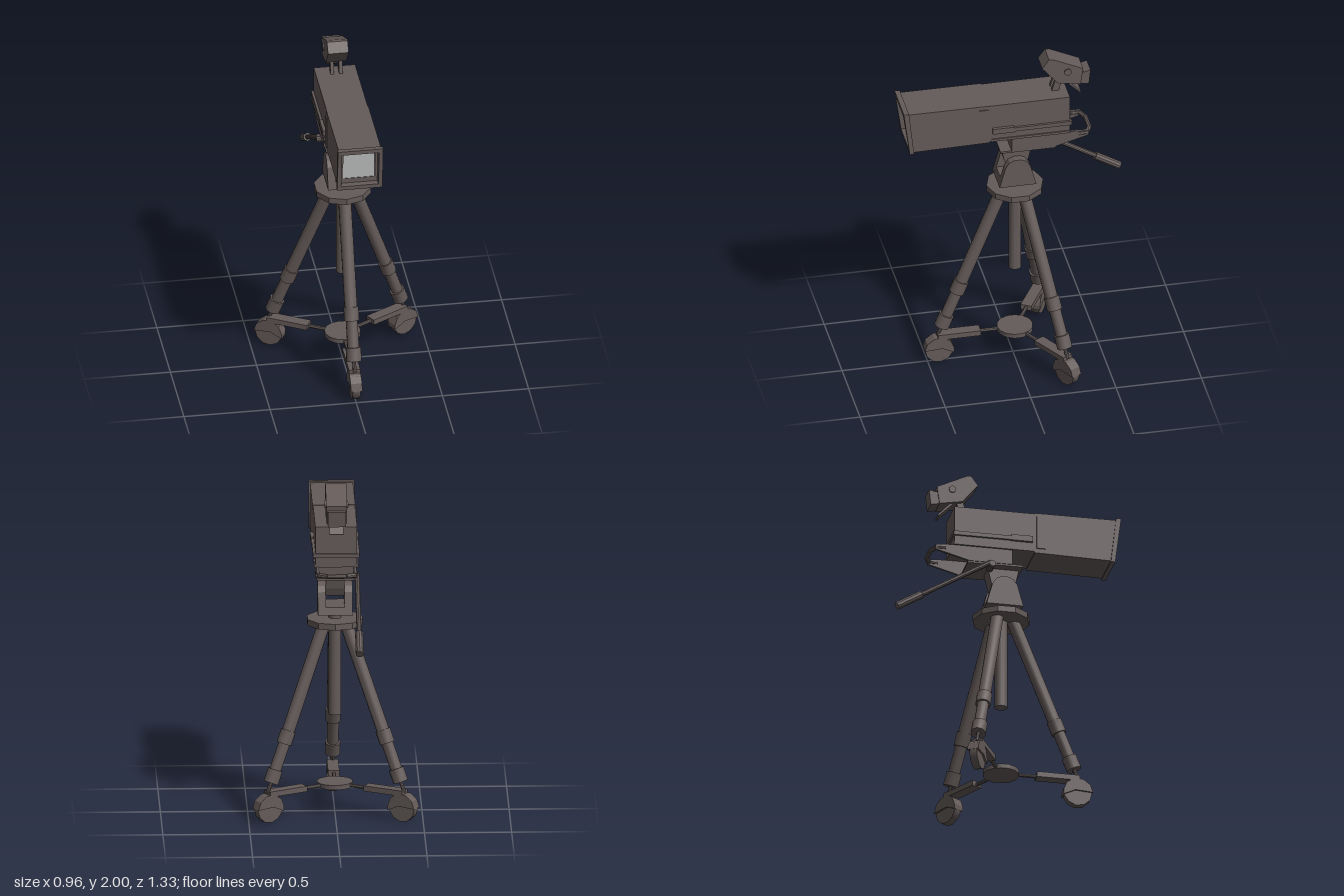
import * as THREE from 'three';
import { toCreasedNormals } from 'three/addons/utils/BufferGeometryUtils.js';

export function createModel() {
  const casing = new THREE.MeshStandardMaterial({ color: 0x645b59 });
  casing.name = 'grey casing';
  const lensGlass = new THREE.MeshStandardMaterial({ color: 0xb6b8b8 });
  lensGlass.name = 'pale glass';

  const model = new THREE.Group();
  model.name = 'studioCamera';
  const V = (x, y, z) => new THREE.Vector3(x, y, z);

  function add(parent, name, geo, mat = casing) {
    const mesh = new THREE.Mesh(geo, mat);
    mesh.name = name;
    parent.add(mesh);
    return mesh;
  }
  // Box given by its limits on each axis
  function box(parent, name, x0, x1, y0, y1, z0, z1, mat) {
    const g = new THREE.BoxGeometry(x1 - x0, y1 - y0, z1 - z0);
    g.translate((x0 + x1) / 2, (y0 + y1) / 2, (z0 + z1) / 2);
    return add(parent, name, g, mat);
  }
  // Round bar between two points
  function bar(parent, name, a, b, r, sides = 14, r2 = r) {
    const g = toCreasedNormals(new THREE.CylinderGeometry(r2, r, a.distanceTo(b), sides), 0.6);
    const mesh = add(parent, name, g);
    mesh.position.copy(a).lerp(b, 0.5);
    mesh.quaternion.setFromUnitVectors(V(0, 1, 0), b.clone().sub(a).normalize());
    return mesh;
  }
  // Side profile of [z, y] points, extruded between two x limits
  function sideProfile(parent, name, pts, x0, x1) {
    const shape = new THREE.Shape(pts.map(p => new THREE.Vector2(p[0], p[1])));
    const g = new THREE.ExtrudeGeometry(shape, { depth: x1 - x0, bevelEnabled: false });
    g.rotateY(-Math.PI / 2).translate(x1, 0, 0);
    return add(parent, name, g);
  }
  // Rectangular sleeve through rings of [zTop, zBottom, halfWidth, yBottom, yTop]
  function sleeve(parent, name, rings) {
    const pos = [];
    const corners = rings.map(([zt, zb, w, y0, y1]) =>
      [[-w, y0, zb], [w, y0, zb], [w, y1, zt], [-w, y1, zt]]);
    for (let i = 0; i < rings.length - 1; i++) {
      for (let j = 0; j < 4; j++) {
        const k = (j + 1) % 4;
        const [a, b, c, d] = [corners[i][j], corners[i][k], corners[i + 1][k], corners[i + 1][j]];
        pos.push(...a, ...b, ...c, ...a, ...c, ...d);
      }
    }
    const g = new THREE.BufferGeometry();
    g.setAttribute('position', new THREE.Float32BufferAttribute(pos, 3));
    g.computeVertexNormals();
    return add(parent, name, g);
  }

  // Camera body and lens hood
  const camera = new THREE.Group();
  camera.name = 'cameraBody';
  model.add(camera);
  box(camera, 'bodyShell', -0.12, 0.12, 1.53, 1.77, -0.31, 0.16);
  sleeve(camera, 'lensHood', [
    [0.16, 0.16, 0.05, 1.6, 1.7],
    [0.16, 0.16, 0.123, 1.523, 1.773],
    [0.635, 0.605, 0.123, 1.516, 1.775],
    [0.635, 0.605, 0.131, 1.508, 1.784],
    [0.665, 0.63, 0.131, 1.508, 1.784],
    [0.665, 0.632, 0.108, 1.533, 1.76],
    [0.61, 0.60, 0.106, 1.537, 1.757],
    [0.61, 0.60, 0.092, 1.567, 1.738],
    [0.595, 0.595, 0.092, 1.567, 1.738],
  ]);
  box(camera, 'lensGlass', -0.092, 0.092, 1.567, 1.738, 0.59, 0.597, lensGlass);

  // Side trim, wrapped around the back as a thin band
  for (const s of [-1, 1]) {
    const lim = (a, b) => (s > 0 ? [a, b] : [-b, -a]);
    box(camera, 'sideRail', ...lim(0.118, 0.134), 1.588, 1.612, -0.318, 0.14);
    box(camera, 'lowerTrim', ...lim(0.118, 0.127), 1.53, 1.545, -0.315, 0.15);
    box(camera, 'sideLatch', ...lim(0.12, 0.138), 1.585, 1.62, 0.02, 0.145);
    box(camera, 'hoodClamp', ...lim(0.118, 0.13), 1.55, 1.75, 0.17, 0.222);
  }
  box(camera, 'rearBand', -0.13, 0.13, 1.588, 1.612, -0.32, -0.308);

  // Mounting base with tapered side plates and rear carry handle
  box(camera, 'baseBlock', -0.1, 0.1, 1.44, 1.532, -0.17, 0.03);
  box(camera, 'basePlate', -0.11, 0.11, 1.43, 1.442, -0.23, 0.095);
  for (const x of [-0.115, 0.1]) {
    sideProfile(camera, 'basePlateSide',
      [[0.03, 1.532], [0.03, 1.44], [-0.22, 1.44], [-0.42, 1.495], [-0.42, 1.525], [-0.31, 1.532]],
      x, x + 0.015);
  }
  const grip = [V(-0.108, 1.51, -0.36), V(-0.108, 1.51, -0.41), V(-0.055, 1.51, -0.436),
    V(0.055, 1.51, -0.436), V(0.108, 1.51, -0.41), V(0.108, 1.51, -0.36)];
  for (let i = 0; i < grip.length - 1; i++) bar(camera, 'rearHandle', grip[i], grip[i + 1], 0.014, 8);

  // Viewfinder
  const finder = new THREE.Group();
  finder.name = 'viewfinder';
  model.add(finder);
  sideProfile(finder, 'finderHousing',
    [[-0.2, 2.0], [-0.16, 1.945], [-0.25, 1.835], [-0.385, 1.81], [-0.4, 1.915], [-0.225, 1.998]],
    -0.06, 0.06);
  sideProfile(finder, 'eyecup',
    [[-0.37, 1.9], [-0.37, 1.815], [-0.435, 1.802], [-0.445, 1.895], [-0.405, 1.885]], -0.052, 0.052);
  bar(finder, 'finderPivot', V(-0.068, 1.905, -0.31), V(0.068, 1.905, -0.31), 0.021);
  for (const x of [-0.035, 0.015]) {
    sideProfile(finder, 'finderStrut',
      [[-0.245, 1.85], [-0.22, 1.765], [-0.26, 1.765], [-0.285, 1.85]], x, x + 0.02);
  }
  sideProfile(finder, 'finderFlap',
    [[-0.3, 1.825], [-0.385, 1.742], [-0.392, 1.748], [-0.32, 1.825]], -0.04, 0.04);

  // Tilting head: tongue held in a U-shaped cradle
  const head = new THREE.Group();
  head.name = 'tiltHead';
  model.add(head);
  sideProfile(head, 'headTongue',
    [[0.082, 1.435], [0.06, 1.34], [0.04, 1.295], [-0.06, 1.295], [-0.08, 1.34], [-0.102, 1.435]],
    -0.054, 0.054);
  for (const x of [-0.1, 0.054]) {
    sideProfile(head, 'cradleCheek',
      [[0.098, 1.19], [0.062, 1.32], [0.04, 1.352], [0.01, 1.366], [-0.03, 1.366],
        [-0.06, 1.352], [-0.082, 1.32], [-0.118, 1.19]], x, x + 0.046);
  }
  sideProfile(head, 'cradleBase',
    [[0.098, 1.19], [0.085, 1.235], [-0.105, 1.235], [-0.118, 1.19]], -0.054, 0.054);

  // Pan handle on the right side
  const panStart = V(-0.125, 1.435, -0.1), panEnd = V(-0.125, 1.105, -0.65);
  const panGrip = panStart.clone().lerp(panEnd, 0.74);
  bar(head, 'panHandleRod', panStart, panGrip, 0.015, 10);
  bar(head, 'panHandleGrip', panGrip, panEnd, 0.024, 10);
  bar(head, 'panHandleMount', V(-0.14, 1.425, -0.09), V(-0.05, 1.425, -0.09), 0.018, 10);

  // Tripod, centred on its column
  const tripod = new THREE.Group();
  tripod.name = 'tripod';
  tripod.position.z = -0.012;
  model.add(tripod);
  bar(tripod, 'neck', V(0, 1.14, 0), V(0, 1.2, 0), 0.036);
  bar(tripod, 'topDisc', V(0, 1.117, 0), V(0, 1.153, 0), 0.166, 10);
  bar(tripod, 'centreColumn', V(0, 0.58, 0), V(0, 1.13, 0), 0.037);
  bar(tripod, 'dollyHub', V(0, 0.153, 0), V(0, 0.18, 0), 0.105, 14);

  // Point on a leg's centre line at a given height, leaning out along +z
  const onLeg = y => V(0, y, 0.075 + (1.12 - y) * 0.398);
  for (let i = 0; i < 3; i++) {
    const leg = new THREE.Group();
    leg.name = ['frontLeg', 'leftRearLeg', 'rightRearLeg'][i];
    leg.rotation.y = i * Math.PI * 2 / 3;
    tripod.add(leg);
    bar(leg, 'upperTube', onLeg(0.5), onLeg(1.13), 0.037);
    bar(leg, 'middleCollar', onLeg(0.45), onLeg(0.525), 0.044);
    bar(leg, 'lowerTube', onLeg(0.27), onLeg(0.47), 0.034);
    bar(leg, 'lowerCollar', onLeg(0.23), onLeg(0.305), 0.044);
    bar(leg, 'footRod', onLeg(0.17), onLeg(0.24), 0.011, 8);

    // Dolly arm and caster
    bar(leg, 'dollyRod', V(0, 0.166, 0.09), V(0, 0.166, 0.22), 0.011, 8);
    box(leg, 'dollyArm', -0.033, 0.033, 0.153, 0.185, 0.205, 0.455);
    box(leg, 'casterBracket', -0.03, 0.03, 0.1, 0.175, 0.4, 0.455);
    bar(leg, 'wheel', V(-0.022, 0.082, 0.447), V(0.022, 0.082, 0.447), 0.083, 11);
    sideProfile(leg, 'wheelFender',
      [[0.533, 0.085], [0.518, 0.13], [0.475, 0.162], [0.425, 0.164], [0.38, 0.137],
        [0.361, 0.09], [0.362, 0.06], [0.43, 0.092]], -0.033, 0.033);
  }
  return model;
}
